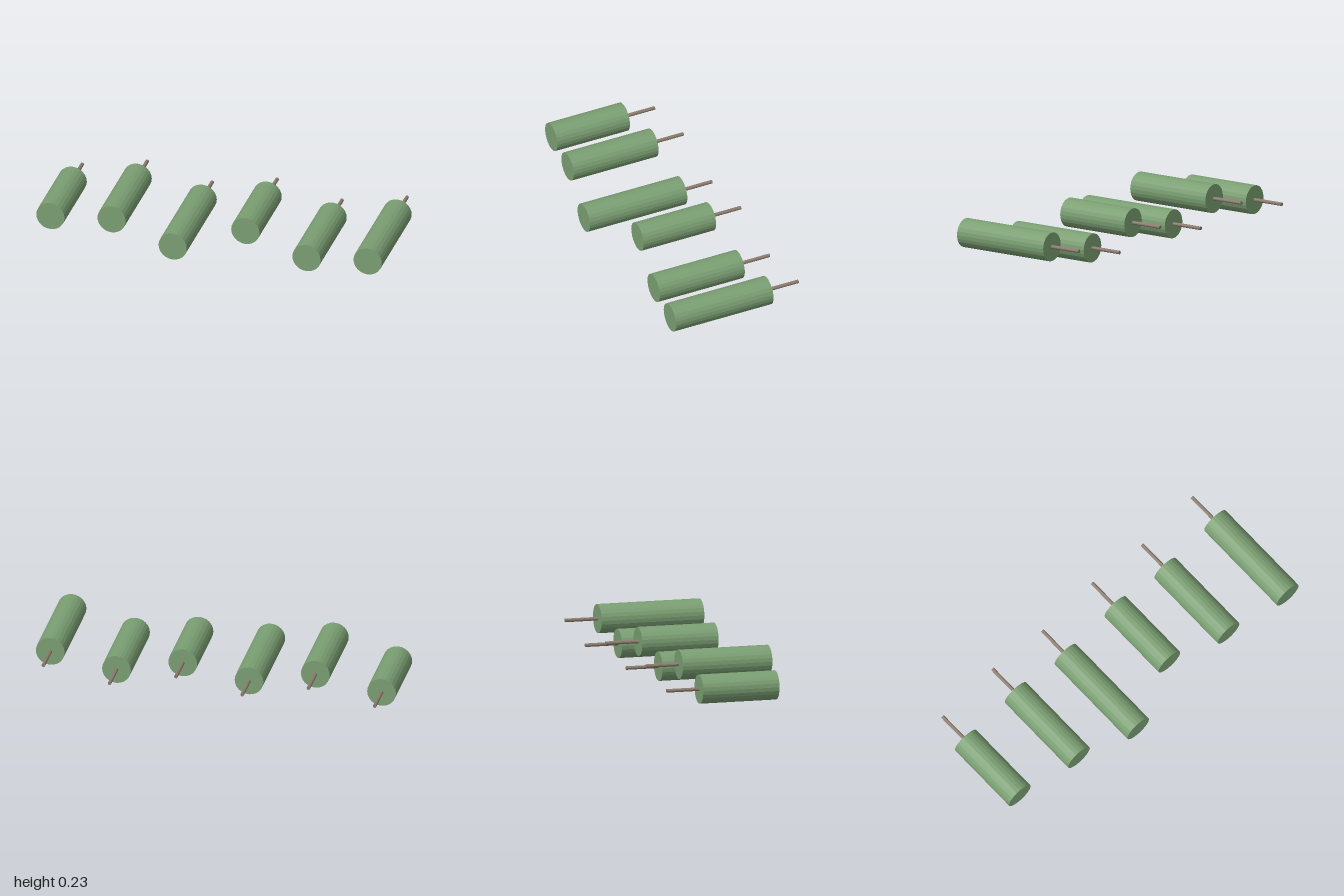
import * as THREE from 'three';

export function createModel() {
  const green = new THREE.MeshStandardMaterial({ color: 0x7a9e72, flatShading: true });
  green.name = 'sage green';
  const brown = new THREE.MeshStandardMaterial({ color: 0x8a7a6c, flatShading: true });
  brown.name = 'grey brown';

  const backZ = -0.2, rodEndZ = -0.385;
  const frontZ = [0.235, 0.31, 0.385]; // three repeating lengths

  // cylinder lying along z between two depths
  function rod(name, radius, sides, z0, z1, material) {
    const geometry = new THREE.CylinderGeometry(radius, radius, z1 - z0, sides);
    geometry.rotateX(Math.PI / 2);
    geometry.translate(0, 0, (z0 + z1) / 2);
    const mesh = new THREE.Mesh(geometry, material);
    mesh.name = name;
    return mesh;
  }

  const model = new THREE.Group();
  model.name = 'pegRow';
  for (let i = 0; i < 6; i++) {
    const peg = new THREE.Group();
    peg.name = 'peg' + (i + 1);
    // alternating low and high pegs
    peg.position.set(-0.92 + i * 0.368, i % 2 ? 0.154 : 0.08, 0);
    peg.add(rod('body', 0.08, 24, backZ, frontZ[i % 3], green));
    peg.add(rod('pin', 0.01, 12, rodEndZ, backZ, brown));
    model.add(peg);
  }
  return model;
}
